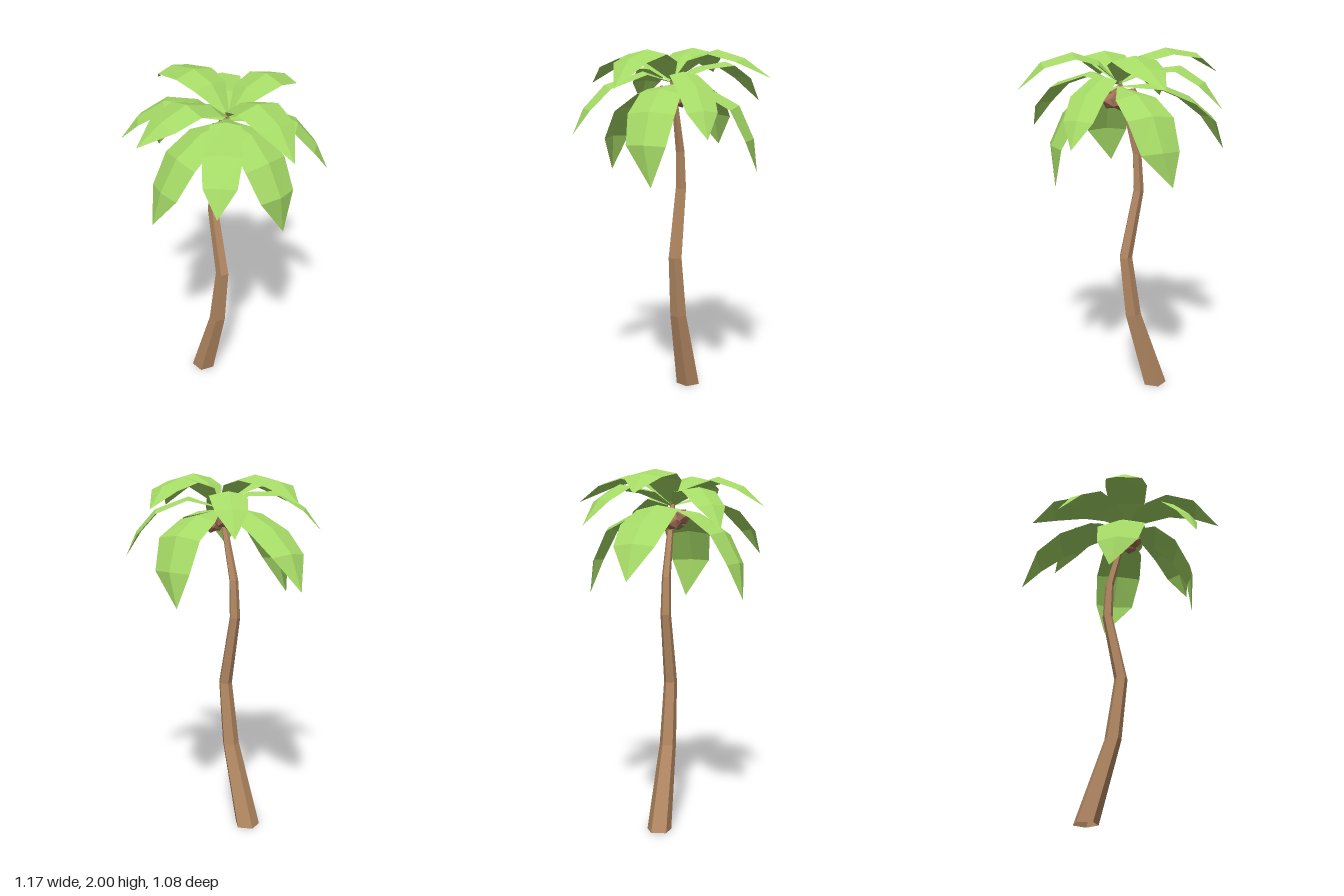
import * as THREE from 'three';

const bark = new THREE.MeshStandardMaterial({ color: 0xb58a64, side: THREE.DoubleSide });
bark.name = 'bark';
const husk = new THREE.MeshStandardMaterial({ color: 0xa37358 });
husk.name = 'coconut husk';
const green = new THREE.MeshStandardMaterial({ color: 0xa5da66, side: THREE.DoubleSide });
green.name = 'leaf green';

// One normal per face for the faceted look
function facet(geometry) {
  const flat = geometry.index ? geometry.toNonIndexed() : geometry;
  flat.computeVertexNormals();
  return flat;
}

function addMesh(parent, name, geometry, material) {
  const mesh = new THREE.Mesh(facet(geometry), material);
  mesh.name = name;
  parent.add(mesh);
  return mesh;
}

// Five-sided trunk, open at the foot, bent through rings of [x, y, radius]
function trunkGeometry() {
  const rings = [
    [-0.187, 0, 0.071], [-0.047, 0.465, 0.049], [-0.003, 0.82, 0.039],
    [-0.08, 1.21, 0.031], [-0.07, 1.42, 0.026], [0.037, 1.84, 0.014], [0.037, 1.841, 0],
  ];
  const last = rings.length - 1;
  const geometry = new THREE.CylinderGeometry(1, 1, 1, 5, last, true, Math.PI / 5);
  const p = geometry.attributes.position;
  for (let i = 0; i < p.count; i++) {
    const [x, y, r] = rings[Math.round((p.getY(i) + 0.5) * last)];
    p.setXYZ(i, x + p.getX(i) * r, y, p.getZ(i) * r);
  }
  return geometry;
}

// Folded leaf: spine of [reach, height], a half width at each point, edges dropped
// below the spine, and the tip swayed sideways
function leafGeometry(spine, widths, fold, sway) {
  const pos = [];
  const index = [];
  const last = spine.length - 1;
  spine.forEach(([r, y], i) => {
    const [r0, y0] = spine[Math.max(i - 1, 0)];
    const [r1, y1] = spine[Math.min(i + 1, last)];
    const length = Math.hypot(r1 - r0, y1 - y0);
    const w = widths[i];
    const drop = fold * w;
    const er = r + drop * (y1 - y0) / length;
    const ey = y - drop * (r1 - r0) / length;
    const z = sway * [0, 0, 0, 0.2, 1][i];
    pos.push(er, ey, z - w, r, y, z, er, ey, z + w);
    if (i === 0) return;
    for (let k = 0; k < 2; k++) {
      const a = (i - 1) * 3 + k;
      const b = a + 3;
      index.push(a, b + 1, a + 1);
      if (i < last) index.push(a, b, b + 1);
    }
  });
  const geometry = new THREE.BufferGeometry();
  geometry.setAttribute('position', new THREE.Float32BufferAttribute(pos, 3));
  geometry.setIndex(index);
  return geometry;
}

// Each leaf: horizontal direction [dx, dz] from the crown, its spine beyond the root, and tip sway
const tiers = [
  {
    name: 'upperLeaf', root: 1.82, widths: [0.008, 0.105, 0.122, 0.103, 0],
    leaves: [
      { dir: [0.54, 0.065], sway: 0, spine: [[0.11, 1.94], [0.25, 1.985], [0.42, 1.935], [0.547, 1.79]] },
      { dir: [-0.58, 0.005], sway: 0, spine: [[0.13, 1.96], [0.27, 1.997], [0.455, 1.963], [0.58, 1.857]] },
      { dir: [-0.015, 0.545], sway: 0.045, spine: [[0.12, 1.92], [0.27, 1.965], [0.42, 1.91], [0.545, 1.8]] },
      { dir: [0.002, -0.54], sway: -0.07, spine: [[0.12, 1.945], [0.26, 1.985], [0.41, 1.94], [0.54, 1.835]] },
    ],
  },
  {
    name: 'middleLeaf', root: 1.81, widths: [0.008, 0.08, 0.1, 0.084, 0],
    leaves: [
      { dir: [0.37, -0.365], sway: 0, spine: [[0.17, 1.87], [0.355, 1.8], [0.46, 1.68], [0.522, 1.54]] },
      { dir: [0.385, 0.4], sway: 0.01, spine: [[0.17, 1.87], [0.385, 1.8], [0.5, 1.68], [0.56, 1.54]] },
      { dir: [-0.395, 0.405], sway: 0, spine: [[0.16, 1.895], [0.33, 1.9], [0.47, 1.81], [0.565, 1.68]] },
      { dir: [-0.465, -0.33], sway: 0, spine: [[0.16, 1.895], [0.34, 1.92], [0.47, 1.84], [0.57, 1.7]] },
    ],
  },
  {
    name: 'lowerLeaf', root: 1.8, widths: [0.008, 0.12, 0.137, 0.115, 0],
    leaves: [
      { dir: [-0.625, -0.015], sway: 0, spine: [[0.22, 1.81], [0.41, 1.73], [0.55, 1.61], [0.627, 1.42]] },
      { dir: [0.37, -0.005], sway: -0.045, spine: [[0.17, 1.78], [0.3, 1.67], [0.385, 1.5], [0.376, 1.28]] },
      { dir: [-0.055, 0.45], sway: 0.045, spine: [[0.17, 1.77], [0.32, 1.67], [0.415, 1.5], [0.453, 1.3]] },
      { dir: [-0.08, -0.455], sway: -0.07, spine: [[0.2, 1.78], [0.37, 1.69], [0.45, 1.51], [0.46, 1.325]] },
    ],
  },
];

export function createModel() {
  const palm = new THREE.Group();
  palm.name = 'palmTree';
  addMesh(palm, 'trunk', trunkGeometry(), bark);

  // Crown of three leaf tiers
  const crown = new THREE.Group();
  crown.name = 'crown';
  crown.position.set(0.038, 0, -0.005);
  palm.add(crown);
  for (const { name, root, widths, leaves } of tiers) {
    for (const { dir, sway, spine } of leaves) {
      const leaf = addMesh(crown, name, leafGeometry([[0, root], ...spine], widths, 0.22, sway), green);
      leaf.rotation.y = -Math.atan2(dir[1], dir[0]);
    }
  }

  // Coconuts clustered round the trunk top
  const coconuts = new THREE.Group();
  coconuts.name = 'coconuts';
  palm.add(coconuts);
  for (let i = 0; i < 5; i++) {
    const a = i * Math.PI * 0.4 + 0.2;
    const nut = addMesh(coconuts, 'coconut', new THREE.IcosahedronGeometry(0.047, 0), husk);
    nut.position.set(0.02 + 0.06 * Math.cos(a), 1.72 + (i % 2) * 0.03, 0.06 * Math.sin(a));
    nut.rotation.set(i, i * 2, 0);
  }
  return palm;
}
